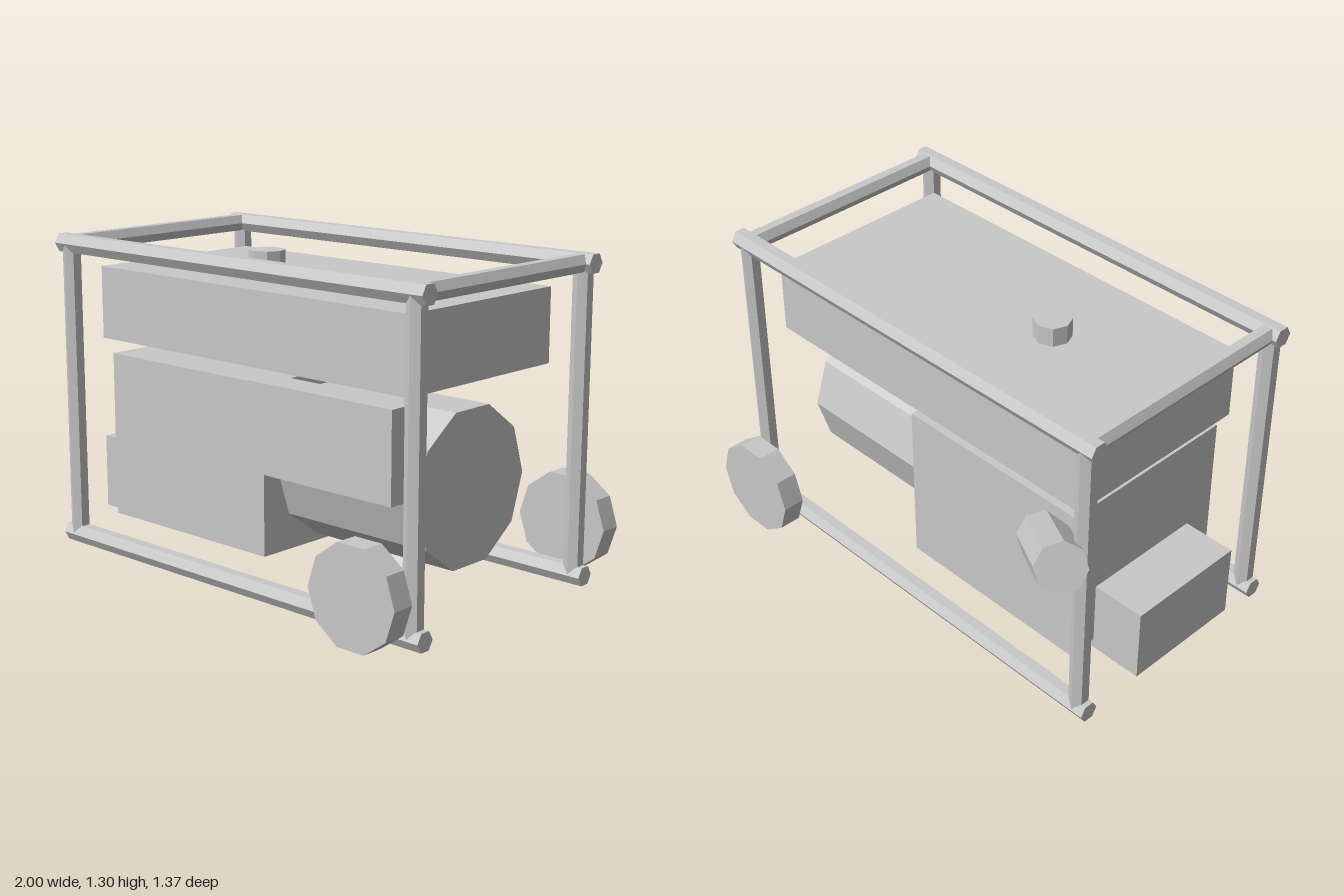
import * as THREE from 'three';

export function createModel() {
  const model = new THREE.Group();
  model.name = 'portableGenerator';
  const grey = new THREE.MeshStandardMaterial({ color: 0xc8c8c8, flatShading: true });
  grey.name = 'lightGrey';

  const add = (name, geometry) => {
    const mesh = new THREE.Mesh(geometry, grey);
    mesh.name = name;
    model.add(mesh);
    return mesh;
  };

  // Box given by its low and high corners
  const box = (name, [x0, y0, z0], [x1, y1, z1]) =>
    add(name, new THREE.BoxGeometry(x1 - x0, y1 - y0, z1 - z0))
      .position.set((x0 + x1) / 2, (y0 + y1) / 2, (z0 + z1) / 2);

  // Faceted bar along one axis
  const bar = (name, axis, r, length, sides, [x, y, z]) => {
    const g = new THREE.CylinderGeometry(r, r, length, sides);
    if (axis === 'x') g.rotateZ(Math.PI / 2);
    if (axis === 'z') g.rotateY(Math.PI / 2).rotateX(Math.PI / 2);
    add(name, g).position.set(x, y, z);
  };

  // Tubular frame: long rails, posts and upper cross bars
  const midZ = 0.0135, railZ = 0.4875, low = 0.04, high = 1.27;
  for (const s of [-1, 1]) {
    const z = midZ + s * railZ;
    for (const y of [low, high]) bar('frameRail', 'x', 0.042, 1.943, 6, [0.0065, y, z]);
    for (const x of [-0.911, 0.922]) bar('framePost', 'y', 0.039, high - low, 6, [x, (low + high) / 2, z]);
    // Wheels outside the frame
    bar('wheel', 'z', 0.203, 0.093, 10, [0.793, 0.204, midZ + s * 0.6285]);
  }
  for (const x of [-0.911, 0.922]) bar('frameCrossBar', 'z', 0.039, 2 * railZ, 6, [x, high, midZ]);

  // Fuel tank and cap
  box('fuelTank', [-0.813, 0.88, -0.4], [0.829, 1.177, 0.428]);
  bar('fuelCap', 'y', 0.075, 0.09, 8, [-0.274, 1.21, midZ]);

  // Engine, starter housing, alternator and control panel
  box('engineBlock', [-0.775, 0.133, -0.377], [0.096, 0.818, 0.41]);
  box('starterHousing', [-1, 0.093, -0.249], [-0.745, 0.405, 0.275]);
  bar('alternator', 'x', 0.318, 0.74, 10, [0.42, 0.465, 0.0155]);
  box('controlPanel', [0.08, 0.486, 0.335], [0.79, 0.84, 0.472]);

  // Slanted muffler behind the engine
  const outer = new THREE.Vector3(-0.924, 0.818, -0.605);
  const inner = new THREE.Vector3(-0.643, 0.672, -0.403);
  const axis = outer.clone().sub(inner);
  const muffler = add('muffler', new THREE.CylinderGeometry(0.1, 0.1, axis.length(), 8));
  muffler.position.copy(outer).add(inner).multiplyScalar(0.5);
  muffler.quaternion.setFromUnitVectors(new THREE.Vector3(0, 1, 0), axis.normalize());

  return model;
}
